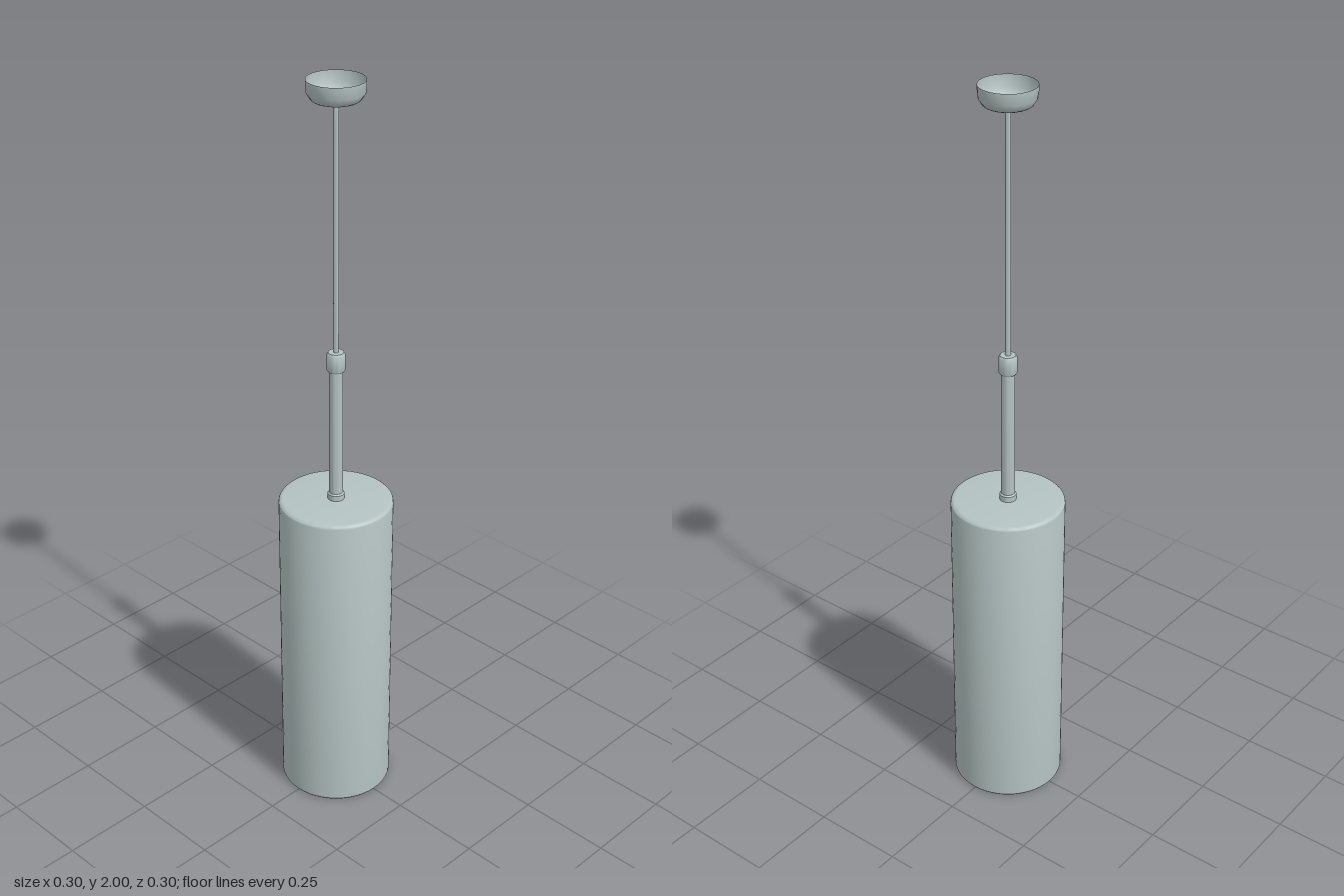
import * as THREE from 'three';
import { toCreasedNormals } from 'three/addons/utils/BufferGeometryUtils.js';

export function createModel() {
  const group = new THREE.Group();
  group.name = 'pendantLamp';

  const metal = new THREE.MeshStandardMaterial({ color: 0xb4c3c2, side: THREE.DoubleSide });
  metal.name = 'paleGreyMetal';

  // Turned part: the profile is a list of [radius, height] pairs
  const turned = (name, profile, sides) => {
    const points = profile.map(([r, y]) => new THREE.Vector2(r, y));
    const mesh = new THREE.Mesh(toCreasedNormals(new THREE.LatheGeometry(points, sides), 0.6), metal);
    mesh.name = name;
    group.add(mesh);
  };

  // Hollow shade: inner ceiling, inner wall, bottom rim, outer wall, softened top edge
  turned('shade', [
    [0, 0.87], [0.14, 0.87], [0.14, 0.004], [0.144, 0], [0.147, 0], [0.15, 0.004],
    [0.15, 0.876], [0.1485, 0.881], [0.145, 0.884], [0.138, 0.885], [0, 0.885],
  ], 48);

  // Stem with a small foot where it meets the shade
  turned('stemFoot', [[0.022, 0.884], [0.022, 0.9], [0.018, 0.904]], 20);
  turned('stem', [[0.018, 0.88], [0.018, 1.26]], 20);

  // Cord grip on top of the stem
  turned('cordGrip', [
    [0, 1.253], [0.021, 1.253], [0.024, 1.258], [0.024, 1.298], [0.02, 1.305], [0, 1.305],
  ], 20);

  turned('cord', [[0.007, 1.3], [0.007, 1.952]], 12);

  // Ceiling cup, open at the top
  turned('ceilingCup', [
    [0, 1.95], [0.056, 1.95], [0.061, 1.953], [0.071, 1.97], [0.072, 2],
  ], 20);

  return group;
}
